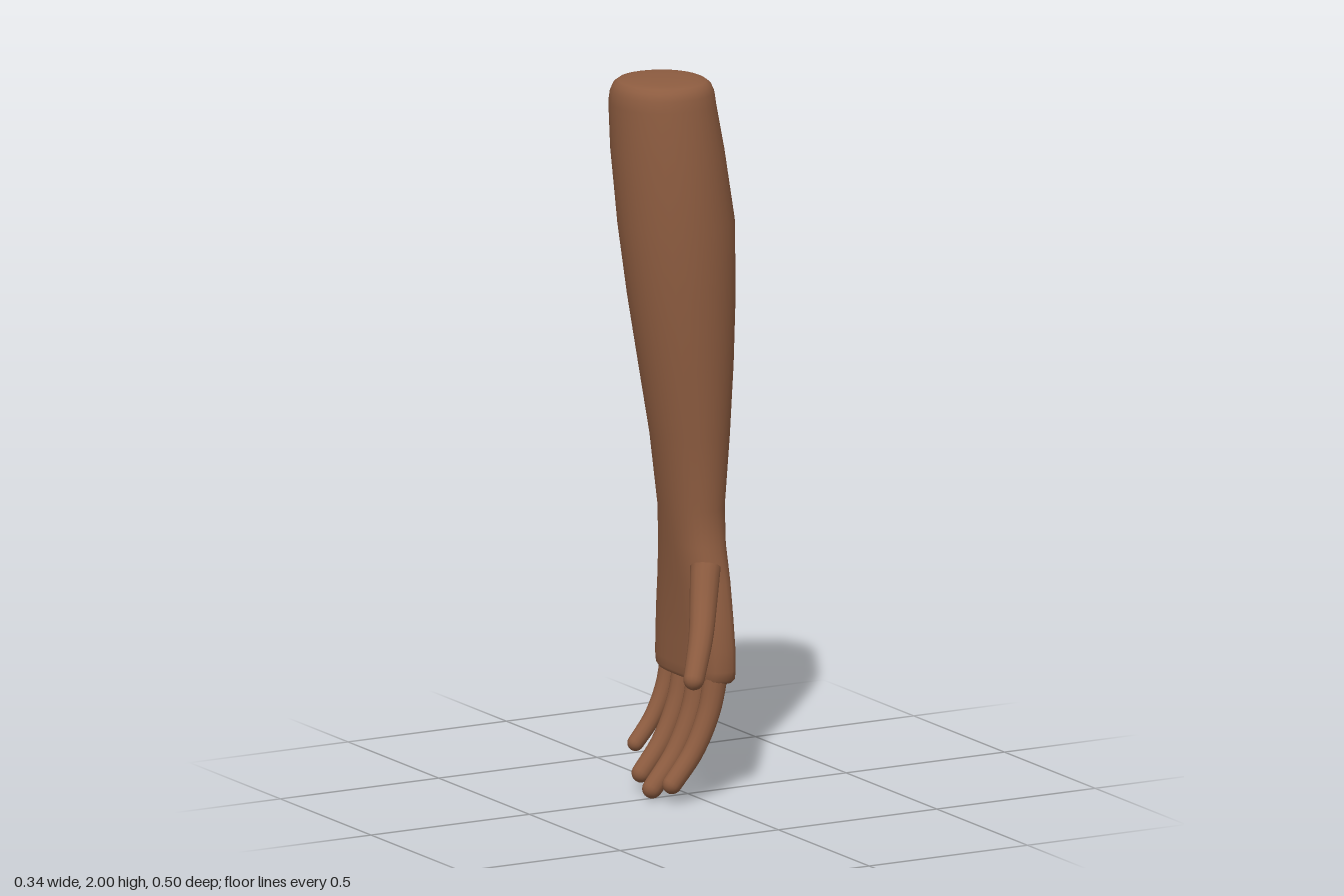
import * as THREE from 'three';

const skinMaterial = new THREE.MeshStandardMaterial({ color: 0x8d5c40 });
skinMaterial.name = 'brown skin';

// Joins closed rings of points into one smooth surface (a repeated ring makes a sharp edge)
function skin(rings, name) {
  const n = rings[0].length, index = [];
  for (let i = 0; i < rings.length - 1; i++) {
    for (let j = 0; j < n; j++) {
      const k = (j + 1) % n, a = i * n, b = a + n;
      index.push(a + j, a + k, b + k, a + j, b + k, b + j);
    }
  }
  const geometry = new THREE.BufferGeometry().setFromPoints(rings.flat());
  geometry.setIndex(index);
  geometry.computeVertexNormals();
  const mesh = new THREE.Mesh(geometry, skinMaterial);
  mesh.name = name;
  return mesh;
}

// Horizontal ring: x range, z range and squareness (2 = ellipse)
function ovalRing(y, x0, x1, z0, z1, power, scale = 1) {
  const ring = [], sides = 32;
  const bend = (t) => Math.sign(t) * Math.pow(Math.abs(t), 2 / power);
  for (let j = 0; j < sides; j++) {
    const a = (j / sides) * Math.PI * 2;
    ring.push(new THREE.Vector3(
      (x0 + x1) / 2 + bend(Math.sin(a)) * scale * (x1 - x0) / 2, y,
      (z0 + z1) / 2 + bend(Math.cos(a)) * scale * (z1 - z0) / 2));
  }
  return ring;
}

// Forearm, wrist and palm in one skin, from the knuckles up
function makeArm() {
  // y, x min, x max, z min, z max, squareness
  const sections = [
    [0.36, -0.01, 0.11, -0.218, 0.128, 2.9],
    [0.42, -0.01, 0.11, -0.216, 0.126, 2.9],
    [0.5, -0.012, 0.111, -0.21, 0.115, 2.8],
    [0.6, -0.018, 0.115, -0.196, 0.095, 2.6],
    [0.7, -0.028, 0.12, -0.18, 0.066, 2.3],
    [0.8, -0.04, 0.126, -0.17, 0.056, 2.1],
    [1.0, -0.07, 0.143, -0.175, 0.068, 2],
    [1.2, -0.105, 0.156, -0.19, 0.079, 2],
    [1.4, -0.137, 0.165, -0.207, 0.086, 2],
    [1.6, -0.16, 0.167, -0.228, 0.086, 2],
    [1.8, -0.17, 0.142, -0.248, 0.072, 2],
    [1.93, -0.168, 0.12, -0.25, 0.052, 2.1],
  ];
  const bottom = sections[0].slice(1), top = sections[sections.length - 1].slice(1);
  return skin([
    ...[[0.322, 0], [0.322, 0.8], [0.325, 0.91], [0.335, 0.98]].map(([y, s]) => ovalRing(y, ...bottom, s)),
    ...sections.map((s) => ovalRing(...s)),
    ...[[1.962, 0.97], [1.982, 0.91], [1.992, 0.82], [1.997, 0.65], [2, 0.35], [2, 0]].map(([y, s]) => ovalRing(y, ...top, s)),
  ], 'forearmAndPalm');
}

// Tapered curved digit with a flat root and a round tip
function makeDigit(name, points, rootRadius, tipRadius) {
  const curve = new THREE.CatmullRomCurve3(points.map((p) => new THREE.Vector3(...p)));
  const steps = 14, sides = 14, frames = curve.computeFrenetFrames(steps);
  const ring = (i, radius, push = 0) => {
    const centre = curve.getPointAt(i / steps).addScaledVector(frames.tangents[i], push);
    return Array.from({ length: sides }, (_, j) => {
      const a = (j / sides) * Math.PI * 2;
      return centre.clone()
        .addScaledVector(frames.normals[i], Math.cos(a) * radius)
        .addScaledVector(frames.binormals[i], Math.sin(a) * radius);
    });
  };
  const rings = [ring(0, 0), ring(0, rootRadius)];
  for (let i = 0; i <= steps; i++) {
    rings.push(ring(i, THREE.MathUtils.lerp(rootRadius, tipRadius, i / steps)));
  }
  for (let k = 1; k <= 5; k++) {
    const a = (k / 5) * Math.PI / 2;
    rings.push(ring(steps, k === 5 ? 0 : tipRadius * Math.cos(a), tipRadius * Math.sin(a)));
  }
  return skin(rings, name);
}

export function createModel() {
  const group = new THREE.Group();
  group.name = 'arm';
  group.add(makeArm());

  // Fingers: name, z, tip height, tip x, root radius, tip radius
  const fingers = [
    ['indexFinger', 0.085, 0.055, -0.098, 0.034, 0.027],
    ['middleFinger', 0, 0.028, -0.112, 0.036, 0.028],
    ['ringFinger', -0.085, 0.053, -0.098, 0.034, 0.027],
    ['littleFinger', -0.165, 0.118, -0.07, 0.029, 0.023],
  ];
  for (const [name, z, tipY, tipX, r0, r1] of fingers) {
    const at = (x, t) => [THREE.MathUtils.lerp(0.042, tipX, x), THREE.MathUtils.lerp(0.36, tipY, t), z];
    group.add(makeDigit(name, [at(0, 0), at(0.17, 0.37), at(0.52, 0.72), at(1, 1)], r0, r1));
  }

  // Thumb, leaning forward and towards the palm side
  group.add(makeDigit('thumb',
    [[0.01, 0.655, 0.08], [-0.018, 0.57, 0.118], [-0.053, 0.48, 0.165], [-0.105, 0.377, 0.217]], 0.042, 0.029));
  return group;
}
